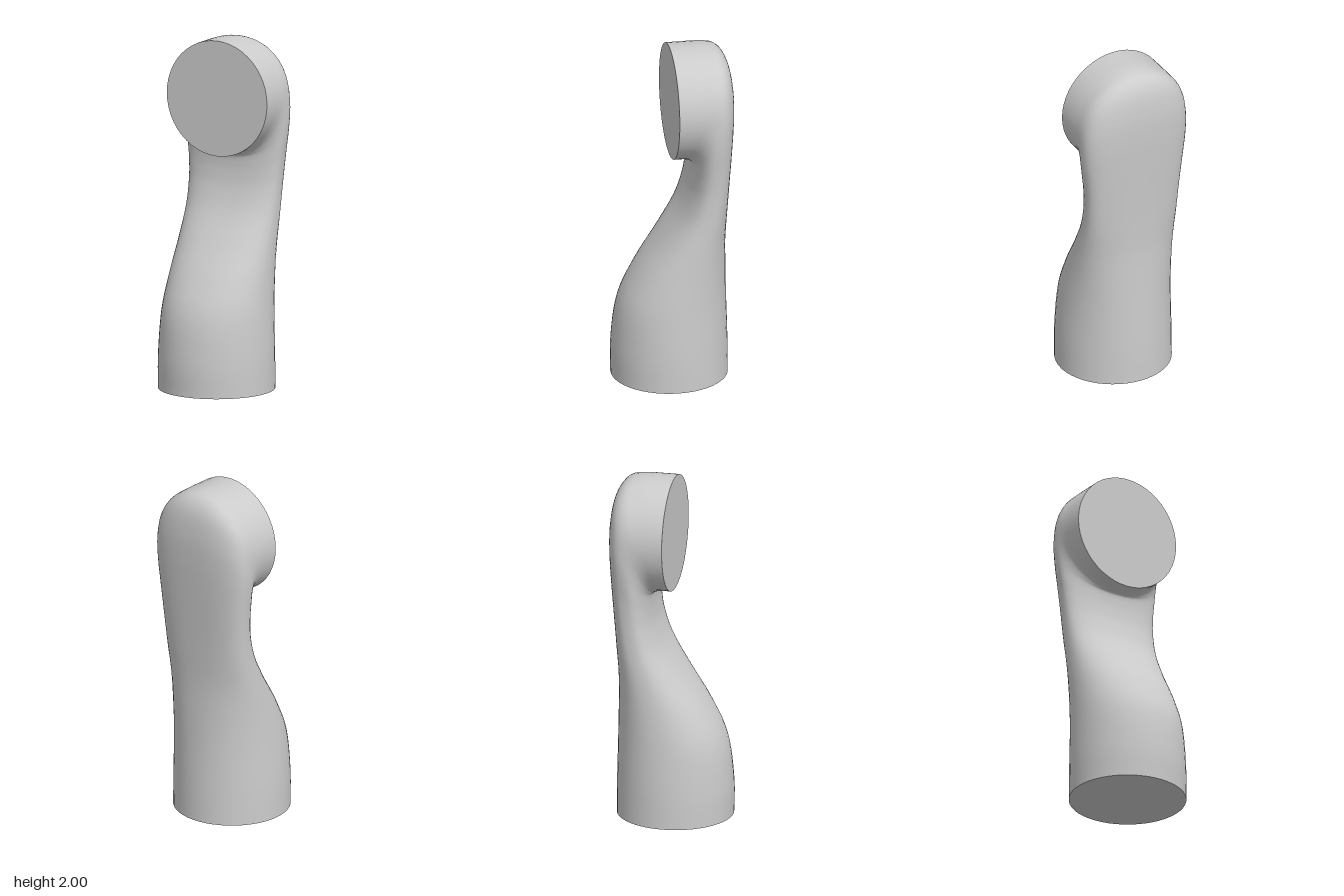
import * as THREE from 'three';

// Cross-sections along the bent body:
// [inner edge y, z,  outer edge y, z,  half width, squareness exponent]
const STATIONS = [
  [0.00, 0.345, 0.00, -0.32, 0.333, 2.0],
  [0.20, 0.345, 0.20, -0.318, 0.331, 2.0],
  [0.45, 0.308, 0.45, -0.31, 0.317, 2.1],
  [0.65, 0.21, 0.65, -0.304, 0.304, 2.2],
  [0.84, 0.08, 0.84, -0.30, 0.295, 2.3],
  [1.00, -0.025, 1.02, -0.306, 0.291, 2.5],
  [1.13, -0.078, 1.22, -0.317, 0.295, 2.6],
  [1.22, -0.096, 1.42, -0.33, 0.307, 2.6],
  [1.28, -0.10, 1.60, -0.34, 0.322, 2.5],
  [1.315, -0.098, 1.76, -0.34, 0.331, 2.4],
  [1.325, -0.09, 1.90, -0.317, 0.333, 2.3],
  [1.328, -0.08, 1.975, -0.265, 0.333, 2.15],
  [1.33, -0.06, 1.998, -0.18, 0.333, 2.0],
  [1.333, -0.03, 2.00, -0.08, 0.333, 2.0],
  [1.333, 0.01, 2.00, 0.01, 0.333, 2.0],
];
const RINGS = 70, SIDES = 48;

const innerCurve = new THREE.CatmullRomCurve3(
  STATIONS.map(s => new THREE.Vector3(s[4], s[0], s[1])), false, 'catmullrom', 0.5);
const outerCurve = new THREE.CatmullRomCurve3(
  STATIONS.map(s => new THREE.Vector3(s[5], s[2], s[3])), false, 'catmullrom', 0.5);

// One closed ring of points at t along the body
function ring(t) {
  const a = innerCurve.getPoint(t), b = outerCurve.getPoint(t);
  const width = a.x, power = 2 / b.x;
  const bend = v => Math.sign(v) * Math.pow(Math.abs(v), power);
  const points = [];
  for (let j = 0; j < SIDES; j++) {
    const angle = (j / SIDES) * Math.PI * 2;
    const c = bend(Math.cos(angle)), s = bend(Math.sin(angle));
    points.push(new THREE.Vector3(
      width * s,
      (a.y + b.y) / 2 + c * (a.y - b.y) / 2,
      (a.z + b.z) / 2 + c * (a.z - b.z) / 2));
  }
  return points;
}

function makeGeometry(points, index) {
  const geometry = new THREE.BufferGeometry().setFromPoints(points);
  geometry.setIndex(index);
  geometry.computeVertexNormals();
  return geometry;
}

// Flat end disc, fanned from its centre
function capGeometry(t, flip) {
  const points = ring(t), index = [];
  const centre = new THREE.Vector3();
  points.forEach(p => centre.addScaledVector(p, 1 / SIDES));
  points.push(centre);
  for (let j = 0; j < SIDES; j++) {
    const k = (j + 1) % SIDES;
    index.push(SIDES, flip ? k : j, flip ? j : k);
  }
  return makeGeometry(points, index);
}

export function createModel() {
  const group = new THREE.Group();
  group.name = 'bentColumn';
  const material = new THREE.MeshStandardMaterial({ color: 0xcccccc });
  const add = (name, geometry) => {
    const mesh = new THREE.Mesh(geometry, material);
    mesh.name = name;
    group.add(mesh);
  };

  // Smooth skin swept from the foot up and over to the round face
  const points = [], index = [];
  for (let i = 0; i <= RINGS; i++) {
    points.push(...ring(i / RINGS));
    if (i === RINGS) break;
    for (let j = 0; j < SIDES; j++) {
      const k = (j + 1) % SIDES, low = i * SIDES, high = low + SIDES;
      index.push(low + j, low + k, high + k, low + j, high + k, high + j);
    }
  }
  add('body', makeGeometry(points, index));

  // Flat discs under the foot and on the front of the head
  add('baseDisc', capGeometry(0, true));
  add('frontDisc', capGeometry(1, false));
  return group;
}
